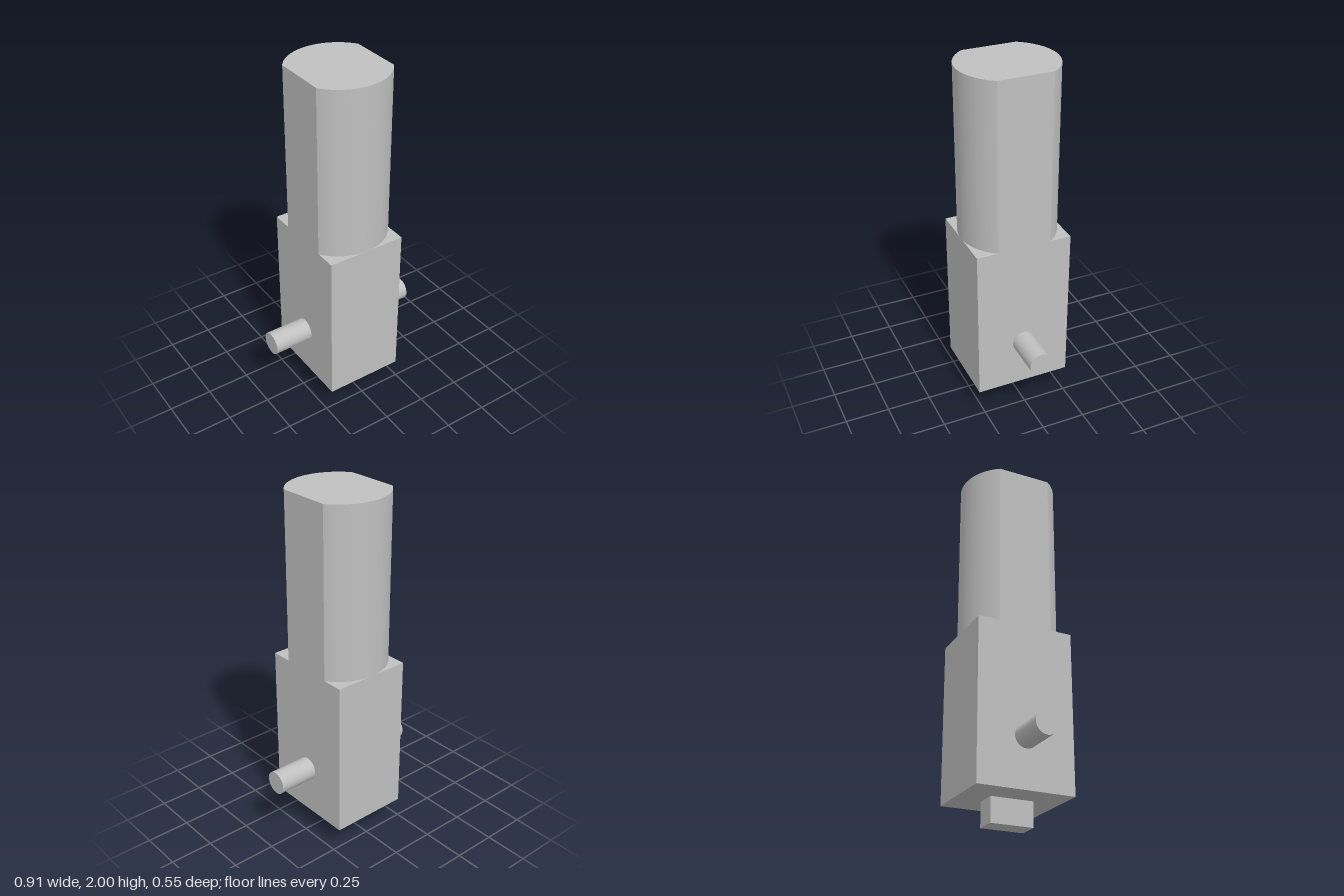
import * as THREE from 'three';
import { toCreasedNormals } from 'three/addons/utils/BufferGeometryUtils.js';

export function createModel() {
  const group = new THREE.Group();
  const grey = new THREE.MeshStandardMaterial({ color: 0xc0c0c0 });
  grey.name = 'light grey';

  const add = (name, geometry, x, y, z) => {
    const mesh = new THREE.Mesh(geometry, grey);
    mesh.name = name;
    mesh.position.set(x, y, z);
    group.add(mesh);
    return mesh;
  };

  const halfWidth = 0.227, radius = 0.273;
  const bodyBottom = 0.137, bodyTop = 1.04, height = 2;

  // Rectangular lower block
  add('body', new THREE.BoxGeometry(halfWidth * 2, bodyTop - bodyBottom, radius * 2),
    0, (bodyTop + bodyBottom) / 2, 0);

  // Round upper shaft with a flat on each side
  const a = Math.acos(halfWidth / radius);
  const section = new THREE.Shape();
  section.absarc(0, 0, radius, a, Math.PI - a, false);
  section.absarc(0, 0, radius, Math.PI + a, 2 * Math.PI - a, false);
  section.closePath();
  const shaft = new THREE.ExtrudeGeometry(section,
    { depth: height - bodyTop, bevelEnabled: false, curveSegments: 32 });
  shaft.rotateX(-Math.PI / 2);
  add('shaft', toCreasedNormals(shaft, 0.3), 0, bodyTop, 0);

  // Side pins
  const pinLength = 0.453 - halfWidth;
  for (const [name, side] of [['leftPin', 1], ['rightPin', -1]]) {
    const pin = add(name, new THREE.CylinderGeometry(0.065, 0.065, pinLength, 48),
      side * (halfWidth + pinLength / 2), 0.417, 0);
    pin.rotation.z = Math.PI / 2;
  }

  // Tab under the body
  add('bottomTab', new THREE.BoxGeometry(0.122, bodyBottom, 0.24), 0, bodyBottom / 2, 0);

  return group;
}
